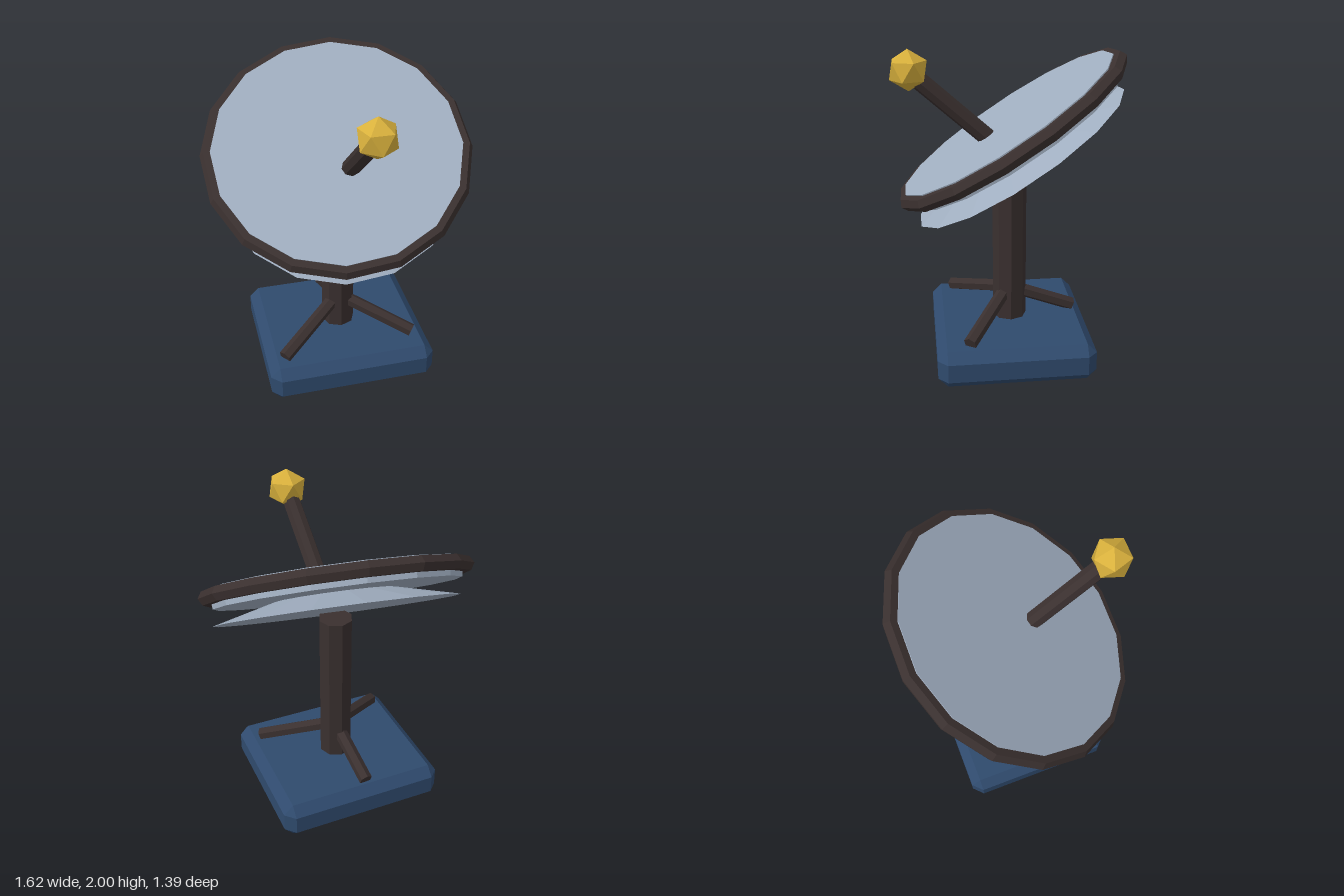
import * as THREE from 'three';
import { ConvexGeometry } from 'three/addons/geometries/ConvexGeometry.js';

const material = (name, color) => {
  const m = new THREE.MeshStandardMaterial({ color, flatShading: true });
  m.name = name;
  return m;
};

// Box with every edge chamfered, built as the hull of its 24 corner points
function chamferedBox(w, h, d, c) {
  const pts = [];
  for (const sx of [-1, 1]) for (const sy of [-1, 1]) for (const sz of [-1, 1]) {
    const x = w / 2, y = h / 2, z = d / 2;
    for (const [px, py, pz] of [[x, y - c, z - c], [x - c, y, z - c], [x - c, y - c, z]]) {
      pts.push(new THREE.Vector3(px * sx, py * sy, pz * sz));
    }
  }
  return new ConvexGeometry(pts);
}

export function createModel() {
  const model = new THREE.Group();
  model.name = 'dishAntenna';

  const navy = material('navy base', 0x2f4a6d);
  const dark = material('dark metal', 0x3a302f);
  const pale = material('pale blue grey', 0xa0aec0);
  const gold = material('gold', 0xd8b03c);

  const add = (parent, name, geometry, mat) => {
    const mesh = new THREE.Mesh(geometry, mat);
    mesh.name = name;
    parent.add(mesh);
    return mesh;
  };

  // Straight rod between two points
  const rod = (name, from, to, radius, sides) => {
    const a = new THREE.Vector3(...from), b = new THREE.Vector3(...to);
    const mesh = add(model, name, new THREE.CylinderGeometry(radius, radius, a.distanceTo(b), sides), dark);
    mesh.position.copy(a).add(b).multiplyScalar(0.5);
    mesh.quaternion.setFromUnitVectors(new THREE.Vector3(0, 1, 0), b.sub(a).normalize());
  };

  // Base and post
  add(model, 'base', chamferedBox(1.07, 0.24, 0.98, 0.06), navy).position.set(0, 0.12, -0.01);
  rod('post', [0, 0.2, -0.01], [0, 1.25, -0.01], 0.107, 8);

  // Three braces from the post to the base
  for (const [x, z] of [[-0.43, 0.34], [0.43, 0.28], [-0.03, -0.43]]) {
    rod('brace', [x * 0.14, 0.41, z * 0.14], [x, 0.262, z], 0.043, 6);
  }

  // Dish, tilted forward and slightly sideways
  const dish = new THREE.Group();
  dish.name = 'dish';
  const across = new THREE.Vector3(1, 0.11, 0).normalize();
  const facing = new THREE.Vector3(-0.11, 1, 0.65).normalize();
  facing.addScaledVector(across, -facing.dot(across)).normalize();
  const along = new THREE.Vector3().crossVectors(across, facing);
  dish.quaternion.setFromRotationMatrix(new THREE.Matrix4().makeBasis(across, facing, along));
  dish.position.set(0, 1.497, -0.015);
  model.add(dish);

  const sides = 16, phase = Math.PI / sides;
  const rim = new THREE.TorusGeometry(0.773, 0.047, 6, sides).rotateZ(phase).rotateX(Math.PI / 2);
  add(dish, 'rim', rim, dark);

  const plate = new THREE.CylinderGeometry(0.755, 0.742, 0.118, sides).rotateY(phase);
  add(dish, 'plate', plate, pale).position.y = -0.011;

  // Shallow cone behind the plate, with its flat side facing down
  const back = new THREE.ConeGeometry(0.745, 0.19, sides).rotateY(phase);
  add(dish, 'backCone', back, pale).position.set(0, -0.167 + 0.095, 0.045);

  // Feed arm and receiver
  rod('feedArm', [0.04, 1.39, 0.06], [0.066, 1.86, 0.58], 0.055, 8);
  const ball = new THREE.IcosahedronGeometry(0.124, 0)
    .rotateZ(-Math.atan(2 / (1 + Math.sqrt(5)))).rotateY(Math.PI / 2);
  add(model, 'receiver', ball, gold).position.set(0.068, 1.876, 0.59);

  return model;
}
